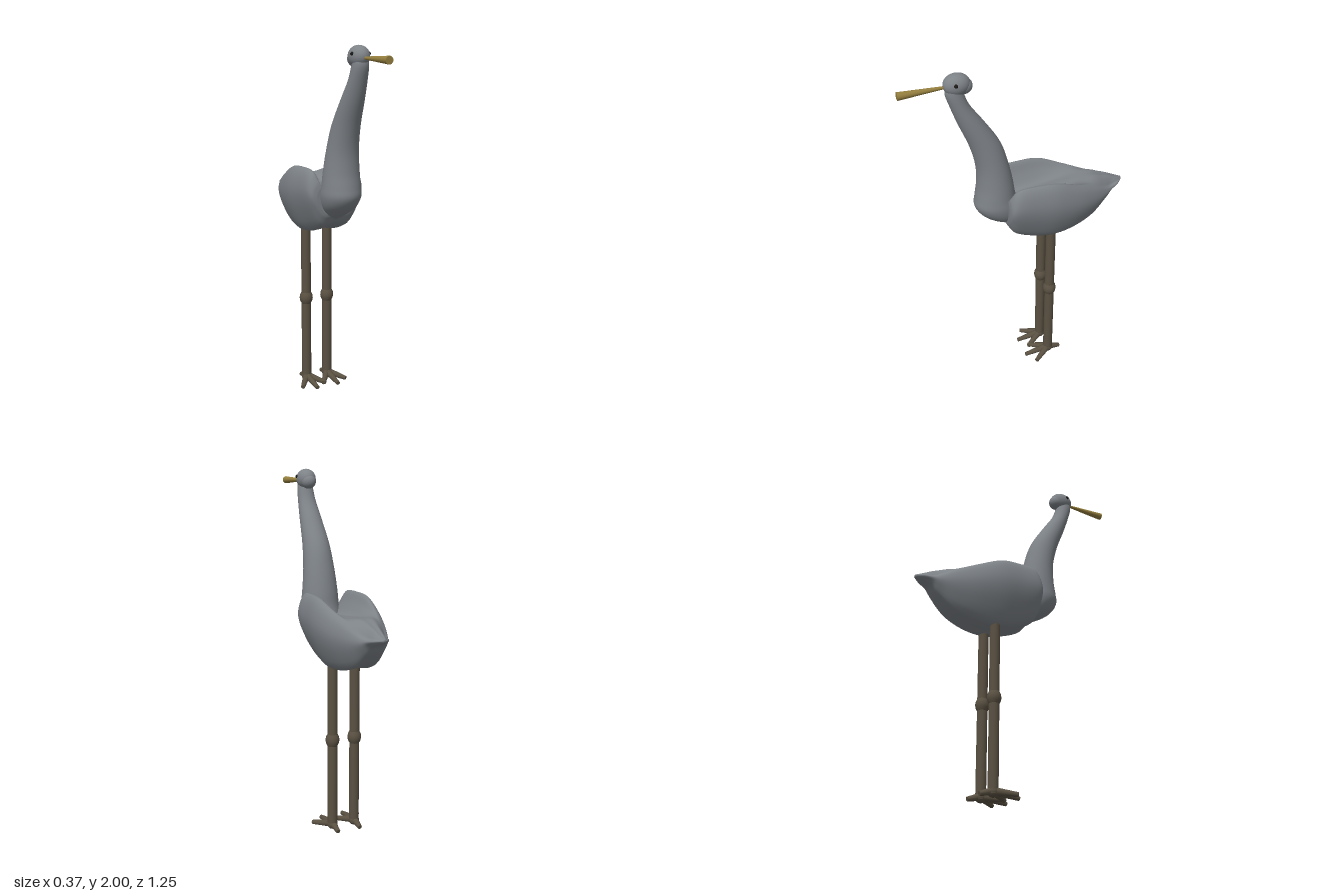
import * as THREE from 'three';

// Interpolate every column of a table of section values smoothly
function smoothRows(rows, steps) {
  const curves = rows[0].map((_, c) => new THREE.CatmullRomCurve3(
    rows.map((r, i) => new THREE.Vector3(i, r[c], 0)), false, 'catmullrom', 0.5));
  return Array.from({ length: steps + 1 }, (_, k) => curves.map((cv) => cv.getPoint(k / steps).y));
}

// Skin closed rings of points into a smooth capped surface
function loft(rings) {
  const n = rings[0].length, pos = [], idx = [];
  rings.forEach((r) => r.forEach((p) => pos.push(p.x, p.y, p.z)));
  for (let i = 0; i < rings.length - 1; i++) {
    for (let j = 0; j < n; j++) {
      const a = i * n + j, b = i * n + (j + 1) % n, c = a + n, d = b + n;
      idx.push(a, c, b, b, c, d);
    }
  }
  [0, rings.length - 1].forEach((i) => {
    const m = new THREE.Vector3();
    rings[i].forEach((p) => m.addScaledVector(p, 1 / n));
    const k = pos.length / 3;
    pos.push(m.x, m.y, m.z);
    for (let j = 0; j < n; j++) {
      const a = i * n + j, b = i * n + (j + 1) % n;
      if (i === 0) idx.push(k, a, b); else idx.push(k, b, a);
    }
  });
  const g = new THREE.BufferGeometry();
  g.setAttribute('position', new THREE.Float32BufferAttribute(pos, 3));
  g.setIndex(idx);
  g.computeVertexNormals();
  return g;
}

// Tapered round rod between two points
function rod(a, b, ra, rb, sides) {
  const dir = b.clone().sub(a);
  const g = new THREE.CylinderGeometry(rb, ra, dir.length(), sides);
  g.applyQuaternion(new THREE.Quaternion().setFromUnitVectors(
    new THREE.Vector3(0, 1, 0), dir.clone().normalize()));
  const m = a.clone().add(b).multiplyScalar(0.5);
  return g.translate(m.x, m.y, m.z);
}

export function createModel() {
  const model = new THREE.Group();
  const material = (name, color) => {
    const m = new THREE.MeshStandardMaterial({ color });
    m.name = name;
    return m;
  };
  const plumage = material('grey plumage', 0x7e8388);
  const legBrown = material('leg brown', 0x5a5142);
  const beakOchre = material('beak ochre', 0x96803f);
  const eyeDark = material('eye dark', 0x1c1a18);
  const v = (x, y, z) => new THREE.Vector3(x, y, z);
  const add = (name, geo, mat, parent = model) => {
    const m = new THREE.Mesh(geo, mat);
    m.name = name;
    parent.add(m);
    return m;
  };

  // Body with folded wings: z, belly y, wing top y, back y, half width
  const bodyRows = smoothRows([
    [0.102, 1.085, 1.235, 1.17, 0.125],
    [0.09, 1.06, 1.275, 1.18, 0.155],
    [0.05, 1.01, 1.325, 1.195, 0.172],
    [-0.05, 0.968, 1.333, 1.21, 0.18],
    [-0.17, 0.945, 1.322, 1.22, 0.185],
    [-0.3, 0.957, 1.27, 1.235, 0.165],
    [-0.42, 1.0, 1.22, 1.245, 0.125],
    [-0.5, 1.07, 1.18, 1.222, 0.088],
    [-0.54, 1.12, 1.168, 1.208, 0.066],
    [-0.585, 1.143, 1.17, 1.188, 0.045],
    [-0.622, 1.16, 1.17, 1.175, 0.012],
  ], 50);
  add('body', loft(bodyRows.map(([z, yb, yt, yc, w]) => {
    const h = yt - yb;
    const half = [
      [0.5 * w, yb + 0.01 * h], [0.85 * w, yb + 0.32 * h], [w, yb + 0.62 * h],
      [0.92 * w, yb + 0.88 * h], [0.73 * w, yt], [0.55 * w, yt * 0.5 + yc * 0.5], [0.3 * w, yc],
    ];
    const pts = [v(0, yb + 0.02 * h, z), ...half.map(([x, y]) => v(x, y, z)),
      v(0, yc, z), ...half.slice().reverse().map(([x, y]) => v(-x, y, z))];
    return new THREE.CatmullRomCurve3(pts, true, 'catmullrom', 0.5).getPoints(64).slice(0, 64);
  })), plumage);

  // Neck and breast: y, front z, back z, half width
  const neckRows = smoothRows([
    [1.05, 0.08, 0.0, 0.02], [1.08, 0.14, 0.0, 0.06], [1.13, 0.215, 0.0, 0.094],
    [1.19, 0.256, 0.01, 0.11], [1.25, 0.252, 0.03, 0.107], [1.33, 0.241, 0.042, 0.1],
    [1.45, 0.243, 0.068, 0.088], [1.58, 0.275, 0.11, 0.076], [1.72, 0.33, 0.197, 0.062],
    [1.82, 0.365, 0.265, 0.051], [1.9, 0.388, 0.295, 0.044], [1.95, 0.375, 0.31, 0.036],
  ], 48);
  add('neck', loft(neckRows.map(([y, zf, zb, w]) => Array.from({ length: 32 }, (_, k) => {
    const t = k / 32 * Math.PI * 2;
    return v(w * Math.cos(t), y, (zf + zb) / 2 + (zf - zb) / 2 * Math.sin(t));
  }))), plumage);

  // Head: a ball with a raised crown and a rounded nape
  const head = add('head', new THREE.SphereGeometry(1, 32, 24), plumage);
  head.scale.set(0.053, 0.057, 0.07);
  head.position.set(0, 1.943, 0.326);
  const nape = add('nape', new THREE.SphereGeometry(1, 24, 16), plumage);
  nape.scale.set(0.042, 0.042, 0.045);
  nape.position.set(0, 1.93, 0.291);

  // Beak, wider at the tip
  add('beak', rod(v(0, 1.937, 0.38), v(0, 1.935, 0.625), 0.007, 0.021, 20), beakOchre);

  for (const s of [1, -1]) {
    const side = s > 0 ? 'left' : 'right';
    const eye = add(side + 'Eye', new THREE.SphereGeometry(0.01, 16, 12), eyeDark);
    eye.position.set(s * 0.048, 1.957, 0.343);

    // Leg, knee and foot
    const leg = new THREE.Group();
    leg.name = side + 'Leg';
    leg.position.set(s * 0.068, 0, -0.167);
    model.add(leg);
    add('shank', rod(v(0, 0.02, 0), v(0, 1.02, 0), 0.028, 0.028, 16), legBrown, leg);
    const knee = [[0.027, -0.036], [0.036, -0.018], [0.039, 0], [0.036, 0.018], [0.027, 0.036]]
      .map(([r, y]) => new THREE.Vector2(r, y));
    add('knee', new THREE.LatheGeometry(knee, 16), legBrown, leg).position.y = 0.53;
    const ankle = add('ankle', new THREE.SphereGeometry(0.03, 16, 10), legBrown, leg);
    ankle.position.y = 0.032;

    // Three front toes and a hind toe
    [[0, 0.15], [0.075, 0.105], [-0.075, 0.105], [0, -0.077]].forEach(([x, z], i) => {
      add(i < 3 ? 'frontToe' : 'hindToe',
        rod(v(0, 0.035, 0), v(x, 0.014, z), 0.022, 0.012, 10), legBrown, leg);
    });
  }
  return model;
}
